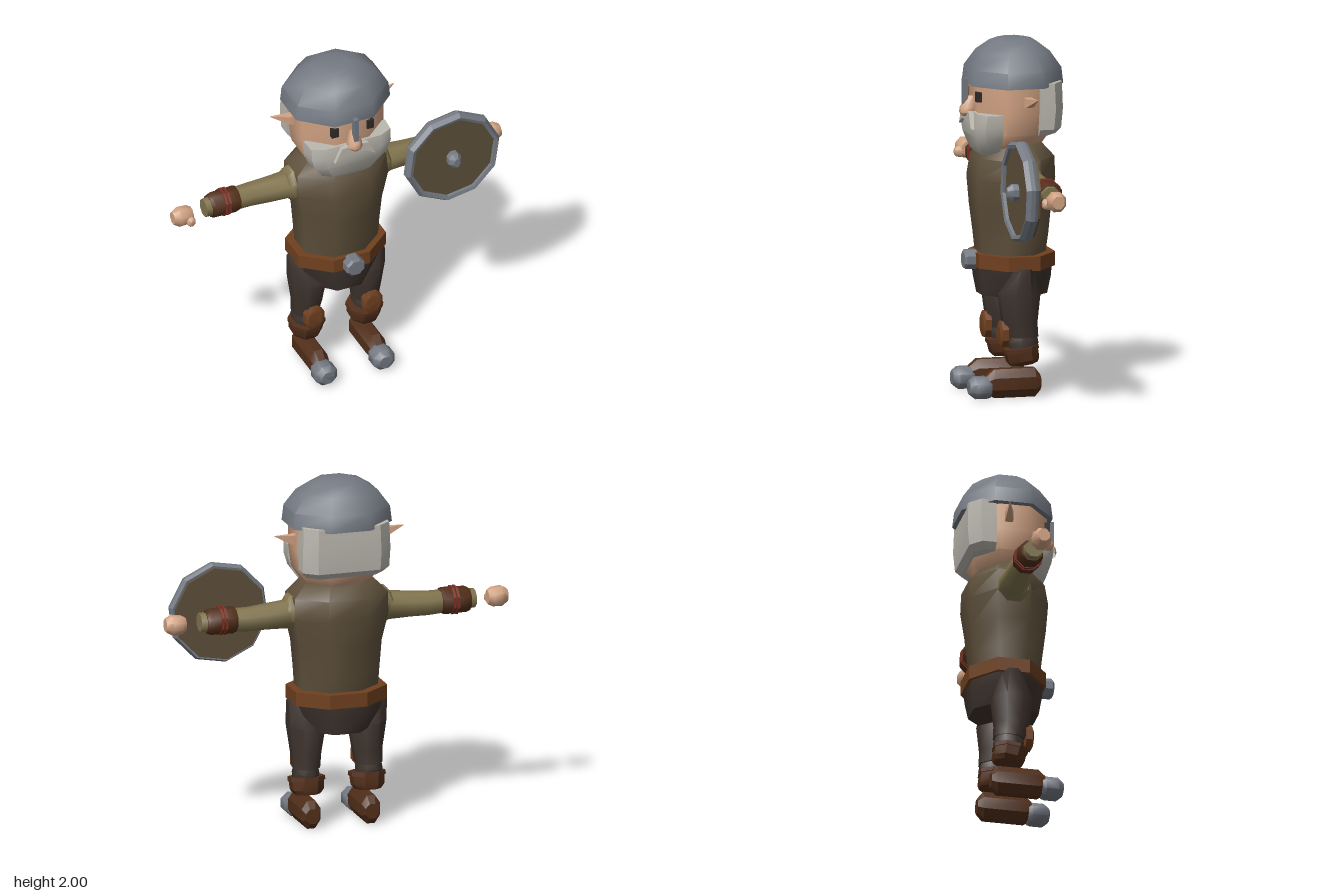
import * as THREE from 'three';
import { toCreasedNormals } from 'three/addons/utils/BufferGeometryUtils.js';

const mat = (name, color) => {
  const m = new THREE.MeshStandardMaterial({ color });
  m.name = name;
  return m;
};

// Skin over a stack of equal-length loops, capped at both ends
function skin(rings, flip = false) {
  const n = rings[0].length, pos = rings.flat(2), idx = [];
  const tri = (a, b, c) => (flip ? idx.push(a, c, b) : idx.push(a, b, c));
  for (let i = 0; i < rings.length - 1; i++)
    for (let j = 0; j < n; j++) {
      const a = i * n + j, b = i * n + (j + 1) % n;
      tri(a, a + n, b);
      tri(b, a + n, b + n);
    }
  const top = (rings.length - 1) * n;
  for (let j = 1; j < n - 1; j++) {
    tri(0, j, j + 1);
    tri(top, top + j + 1, top + j);
  }
  const g = new THREE.BufferGeometry();
  g.setAttribute('position', new THREE.Float32BufferAttribute(pos, 3));
  g.setIndex(idx);
  return g;
}

// Loft of flat-sided polygons; each row is [t, a0, a1, b0, b1], the bounds at t along the axis
// axis y: a = x, b = z; axis x: a = y, b = z; axis z: a = x, b = y
function loft(axis, rows, n = 8) {
  const put = {
    y: (t, a, b) => [a, t, b],
    x: (t, a, b) => [t, a, b],
    z: (t, a, b) => [a, b, t],
  }[axis];
  const k = 0.5 / Math.cos(Math.PI / n);
  const rings = rows.map(([t, a0, a1, b0, b1]) =>
    Array.from({ length: n }, (_, j) => {
      const w = ((j + 0.5) / n) * Math.PI * 2;
      return put(t, (a0 + a1) / 2 + (a1 - a0) * k * Math.cos(w), (b0 + b1) / 2 + (b1 - b0) * k * Math.sin(w));
    }));
  return skin(rings, axis !== 'y');
}

// Symmetric loft: rows of [y, halfWidth, zBack, zFront]
const body = (rows) => loft('y', rows.map(([y, w, z0, z1]) => [y, -w, w, z0, z1]));

function mirrorX(geo) {
  const g = geo.index ? geo.toNonIndexed() : geo.clone();
  g.scale(-1, 1, 1);
  const p = g.attributes.position;
  for (let i = 0; i < p.count; i += 3) {
    const b = [p.getX(i + 1), p.getY(i + 1), p.getZ(i + 1)];
    p.setXYZ(i + 1, p.getX(i + 2), p.getY(i + 2), p.getZ(i + 2));
    p.setXYZ(i + 2, ...b);
  }
  return g;
}

export function createModel() {
  const model = new THREE.Group();
  model.name = 'bearded warrior';
  const steel = mat('steel', 0x757a83), flesh = mat('skin', 0xd3a484), hair = mat('grey hair', 0xbcb9b0);
  const tunic = mat('tunic brown', 0x5e503b), sleeve = mat('sleeve olive', 0x82754f);
  const leather = mat('dark leather', 0x522f1a), red = mat('red cord', 0x7d2f22);
  const tan = mat('tan leather', 0x70401f), cloth = mat('trouser cloth', 0x3f342e), dark = mat('eye dark', 0x2f2a28);

  const add = (name, geo, material, crease = 0.9) => {
    const mesh = new THREE.Mesh(toCreasedNormals(geo, crease), material);
    mesh.name = name;
    model.add(mesh);
  };
  const pair = (name, geo, material, crease) => {
    add(name + 'Left', geo, material, crease);
    add(name + 'Right', mirrorX(geo), material, crease);
  };
  const box = (w, h, d, x, y, z) => new THREE.BoxGeometry(w, h, d).translate(x, y, z);

  // Head and helmet
  add('head', body([[1.34, 0.1, -0.1, 0.12], [1.4, 0.18, -0.16, 0.18], [1.48, 0.235, -0.21, 0.2],
    [1.6, 0.25, -0.22, 0.21], [1.78, 0.25, -0.22, 0.21]]), flesh);
  add('helmet', body([[1.75, 0.288, -0.28, 0.24], [1.84, 0.278, -0.27, 0.23], [1.93, 0.215, -0.21, 0.17],
    [1.985, 0.13, -0.14, 0.1], [2, 0.07, -0.09, 0.05]]), steel);
  add('noseGuard', box(0.028, 0.16, 0.03, 0, 1.7, 0.255), steel, 0.3);
  add('nose', loft('y', [[1.57, -0.025, 0.025, 0.2, 0.27], [1.59, -0.042, 0.042, 0.19, 0.285],
    [1.62, -0.038, 0.038, 0.19, 0.28], [1.68, -0.018, 0.018, 0.19, 0.24]]), flesh);
  pair('eye', box(0.042, 0.055, 0.03, 0.108, 1.69, 0.207), dark, 0.3);
  pair('ear', loft('x', [[0.23, 1.64, 1.7, -0.06, -0.015], [0.28, 1.645, 1.695, -0.065, -0.02],
    [0.378, 1.7, 1.703, -0.063, -0.06]], 4), flesh, 0.3);

  // Beard, moustache and back hair
  const beardRow = ([y, w, zf]) => [[w, y, 0.1], [w * 0.97, y, zf - 0.035], [w * 0.68, y, zf],
    [-w * 0.68, y, zf], [-w * 0.97, y, zf - 0.035], [-w, y, 0.1]];
  add('beard', skin([[1.338, 0.1, 0.17], [1.38, 0.17, 0.2], [1.46, 0.228, 0.225], [1.53, 0.248, 0.235],
    [1.6, 0.25, 0.225]].map(beardRow)), hair, 0.6);
  const stache = new THREE.Shape([[0, 1.605], [0.08, 1.595], [0.125, 1.51], [0.07, 1.545], [0, 1.55],
    [-0.07, 1.545], [-0.125, 1.51], [-0.08, 1.595]].map((p) => new THREE.Vector2(...p)));
  add('moustache', new THREE.ExtrudeGeometry(stache, { depth: 0.035, bevelEnabled: false }).translate(0, 0, 0.22), hair, 0.3);
  const hairRow = ([y, w, zb]) => [[-w, y, -0.11], [-w, y, zb + 0.06], [-w * 0.72, y, zb],
    [w * 0.72, y, zb], [w, y, zb + 0.06], [w, y, -0.11]];
  add('backHair', skin([[1.475, 0.225, -0.22], [1.51, 0.252, -0.25], [1.62, 0.256, -0.26],
    [1.77, 0.25, -0.255]].map(hairRow)), hair, 0.6);

  // Tunic, belt and hips
  add('tunic', body([[0.76, 0.22, -0.18, 0.17], [0.9, 0.228, -0.2, 0.185], [1.06, 0.24, -0.215, 0.205],
    [1.22, 0.278, -0.235, 0.215], [1.34, 0.272, -0.23, 0.195], [1.42, 0.195, -0.16, 0.14]]), tunic);
  add('belt', body([[0.72, 0.267, -0.235, 0.205], [0.8, 0.267, -0.235, 0.205]]), tan, 0.5);
  add('buckle', loft('z', [[0.195, -0.055, 0.055, 0.705, 0.812], [0.255, -0.055, 0.055, 0.705, 0.812],
    [0.266, -0.045, 0.045, 0.715, 0.8]]), steel, 0.5);
  add('hips', body([[0.56, 0.175, -0.2, 0.17], [0.66, 0.225, -0.215, 0.185], [0.74, 0.25, -0.22, 0.19]]), cloth);

  // Legs, knee pads and boots
  pair('thigh', loft('y', [[0.34, 0.11, 0.255, -0.11, 0.06], [0.42, 0.1, 0.258, -0.105, 0.085],
    [0.58, 0.075, 0.28, -0.12, 0.105], [0.73, 0.1, 0.288, -0.08, 0.045]]), cloth);
  pair('shin', loft('y', [[0.25, 0.12, 0.25, -0.1, 0.04], [0.31, 0.115, 0.255, -0.11, 0.055],
    [0.36, 0.125, 0.245, -0.1, 0.04]]), cloth);
  pair('kneePad', loft('z', [[0.065, 0.12, 0.235, 0.285, 0.43], [0.1, 0.12, 0.235, 0.285, 0.43],
    [0.11, 0.135, 0.22, 0.305, 0.41]]), tan, 0.5);
  const tilt = (g) => g.translate(-0.178, -0.25, 0.02).rotateX(0.15).translate(0.178, 0.25, -0.02);
  pair('bootCuff', tilt(loft('y', [[0.185, 0.11, 0.245, -0.1, 0.05], [0.21, 0.09, 0.265, -0.11, 0.065],
    [0.265, 0.085, 0.27, -0.11, 0.07]])), leather, 0.5);
  pair('bootBand', tilt(loft('y', [[0.262, 0.078, 0.276, -0.115, 0.075], [0.285, 0.08, 0.275, -0.115, 0.075]])), leather, 0.5);
  pair('foot', loft('z', [[-0.128, 0.135, 0.215, 0.035, 0.12], [-0.095, 0.12, 0.23, 0, 0.162],
    [0.14, 0.12, 0.23, 0, 0.162], [0.19, 0.13, 0.22, 0.03, 0.12]]), leather, 0.5);
  pair('toeCap', loft('z', [[0.16, 0.125, 0.23, 0.005, 0.115], [0.18, 0.113, 0.24, 0, 0.122],
    [0.25, 0.113, 0.24, 0, 0.122], [0.282, 0.138, 0.215, 0.025, 0.1]]), steel);

  // Arms: sleeve, bracer, cord and floating fist
  pair('shoulder', loft('x', [[0.2, 1.15, 1.345, -0.11, 0.085], [0.285, 1.155, 1.343, -0.105, 0.075],
    [0.31, 1.17, 1.31, -0.1, 0.06]]), sleeve);
  pair('sleeve', loft('x', [[0.25, 1.16, 1.315, -0.105, 0.055], [0.42, 1.165, 1.3, -0.1, 0.045],
    [0.52, 1.165, 1.292, -0.1, 0.03], [0.64, 1.17, 1.29, -0.09, 0.035], [0.805, 1.18, 1.28, -0.07, 0.03]]), sleeve);
  pair('bracer', loft('x', [[0.6, 1.168, 1.298, -0.095, 0.04], [0.62, 1.16, 1.302, -0.1, 0.045],
    [0.75, 1.162, 1.298, -0.095, 0.042], [0.772, 1.17, 1.288, -0.085, 0.035]]), leather);
  for (const [name, x] of [['bracerCordInner', 0.668], ['bracerCordOuter', 0.69]])
    pair(name, loft('x', [[x - 0.007, 1.156, 1.308, -0.103, 0.049], [x + 0.007, 1.156, 1.308, -0.103, 0.049]]), red, 0.5);
  pair('fist', loft('x', [[0.885, 1.185, 1.262, -0.045, 0.025], [0.91, 1.172, 1.275, -0.06, 0.04],
    [0.965, 1.17, 1.28, -0.06, 0.042], [1, 1.19, 1.262, -0.04, 0.025]]), flesh);
  pair('thumb', loft('z', [[0.02, 0.885, 0.935, 1.175, 1.24], [0.05, 0.885, 0.932, 1.18, 1.235],
    [0.062, 0.895, 0.922, 1.19, 1.225]]), flesh);

  // Ten-sided round shield
  const onArm = (g) => g.rotateX(Math.PI / 2).rotateZ(-0.14).translate(0.65, 1.24, 0);
  const rim = [[0.252, 0.09], [0.28, 0.085], [0.292, 0.105], [0.292, 0.13], [0.275, 0.156], [0.255, 0.15], [0.252, 0.09]];
  add('shieldRim', onArm(new THREE.LatheGeometry(rim.map((p) => new THREE.Vector2(...p)), 10)), steel, 0.5);
  add('shieldBoard', onArm(new THREE.CylinderGeometry(0.268, 0.268, 0.062, 10).translate(0, 0.101, 0)), tunic, 0.5);
  add('shieldBoss', loft('z', [[0.12, 0.612, 0.688, 1.19, 1.282], [0.165, 0.612, 0.688, 1.19, 1.282],
    [0.195, 0.632, 0.668, 1.21, 1.262]]), steel, 0.5);

  return model;
}
